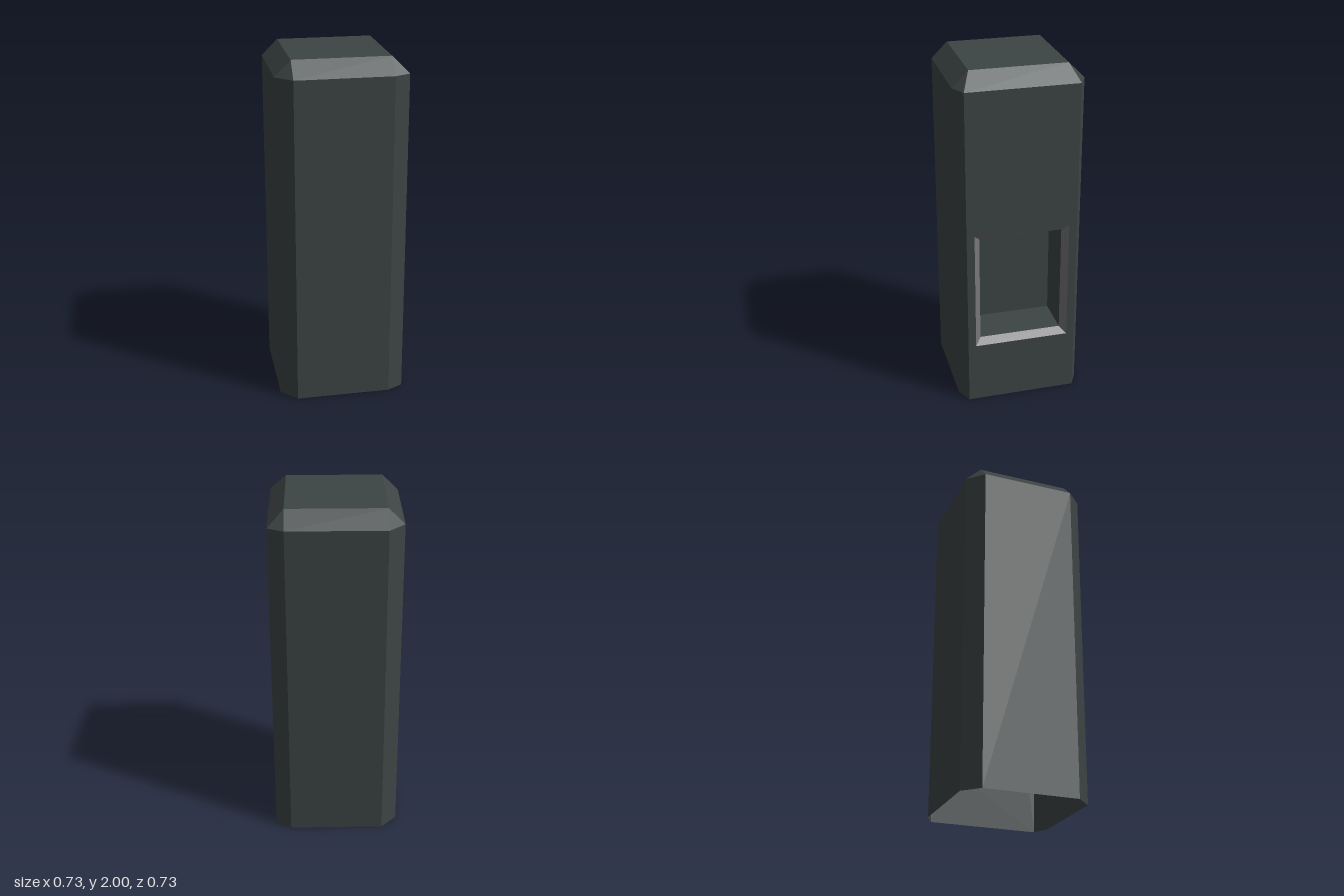
import * as THREE from 'three';

// Flat-shaded mesh from a list of four-cornered (or three-cornered) faces
function facesMesh(name, faces, material) {
  const positions = [];
  for (const f of faces) {
    for (let i = 1; i < f.length - 1; i++) positions.push(...f[0], ...f[i], ...f[i + 1]);
  }
  const geometry = new THREE.BufferGeometry();
  geometry.setAttribute('position', new THREE.Float32BufferAttribute(positions, 3));
  geometry.computeVertexNormals();
  const mesh = new THREE.Mesh(geometry, material);
  mesh.name = name;
  return mesh;
}

// Faces joining two closed loops of equal length
function band(a, b) {
  return a.map((p, i) => {
    const j = (i + 1) % a.length;
    return [p, a[j], b[j], b[i]];
  });
}

// Rectangle in a plane of constant x, counter-clockwise seen from +x
const sideRect = (x, y0, y1, z) => [[x, y0, z], [x, y0, -z], [x, y1, -z], [x, y1, z]];

export function createModel() {
  const shell = new THREE.MeshStandardMaterial({ color: 0x3d4444, side: THREE.DoubleSide });
  shell.name = 'darkShell';
  const trim = new THREE.MeshStandardMaterial({ color: 0x777777, side: THREE.DoubleSide });
  trim.name = 'greyTrim';

  const W = 0.363, C = 0.273, S = 0.318; // half width, chamfer start, side panel half depth
  const H = 2, shoulder = 1.91;

  // Chamfered plan outline; the right-hand side has shallower chamfers
  const outline = [[-C, W], [C, W], [W, S], [W, -S], [C, -W], [-C, -W], [-W, -C], [-W, C]];
  const ring = (y) => outline.map(([x, z]) => [x, y, z]);
  const topRing = outline.map(([x, z]) => [Math.sign(x) * C, H, Math.sign(z) * C]);

  // Loops of the side opening, from the outside in
  const panel = sideRect(W, 0, shoulder, S);
  const opening = sideRect(W, 0.367, 1.077, C);
  const inner = sideRect(0.326, 0.402, 1.042, 0.238);
  const back = sideRect(0.09, 0.402, 1.042, 0.238);

  // Walls, leaving out the side panel that holds the opening; the base is open
  const walls = band(ring(0), ring(shoulder)).filter((_, i) => i !== 2);

  const model = new THREE.Group();
  model.name = 'cabinet';
  model.add(
    facesMesh('walls', walls, shell),
    facesMesh('sidePanel', band(panel, opening), shell),
    facesMesh('topBevel', band(ring(shoulder), topRing), shell),
    facesMesh('topPlate', [[[-C, H, C], [C, H, C], [C, H, -C], [-C, H, -C]]], shell),
    facesMesh('openingFrame', band(opening, inner), trim),
    facesMesh('recess', [...band(inner, back), back], shell)
  );
  return model;
}
